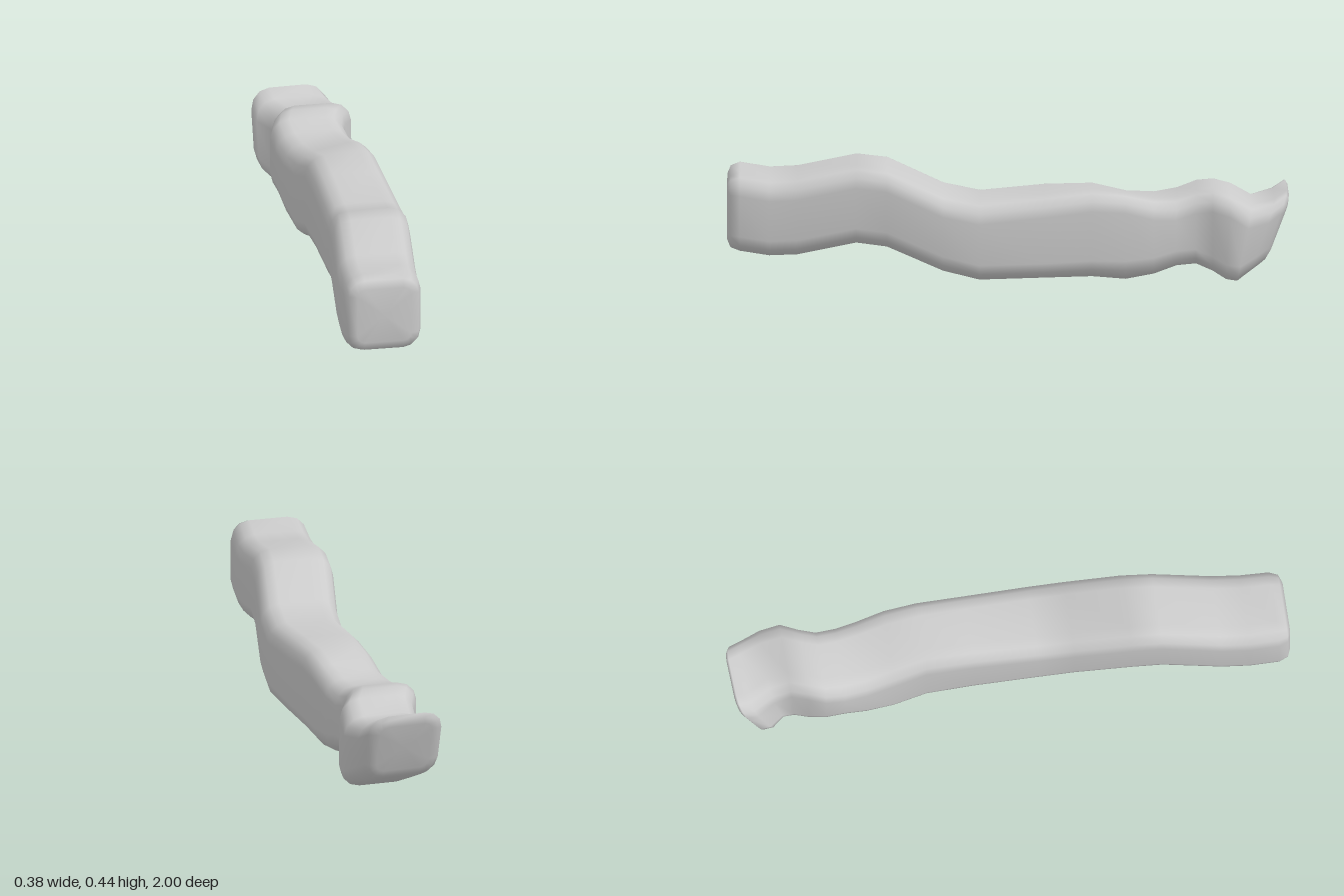
import * as THREE from 'three';

// Cross-sections along the beam: z, centre x, centre y, width, height
const SECTIONS = [
  [0.955, -0.05, 0.252, 0.28, 0.289],
  [0.85, -0.042, 0.237, 0.284, 0.287],
  [0.75, -0.033, 0.244, 0.285, 0.288],
  [0.54, -0.012, 0.294, 0.285, 0.288],
  [0.43, 0.001, 0.284, 0.288, 0.289],
  [0.23, 0.038, 0.203, 0.285, 0.285],
  [0.1, 0.049, 0.176, 0.282, 0.291],
  [-0.13, 0.044, 0.19, 0.272, 0.309],
  [-0.3, 0.04, 0.194, 0.264, 0.321],
  [-0.42, 0.029, 0.172, 0.268, 0.317],
  [-0.52, 0.011, 0.175, 0.273, 0.28],
  [-0.6, -0.003, 0.194, 0.273, 0.254],
  [-0.67, -0.012, 0.209, 0.268, 0.272],
  [-0.73, 0.005, 0.203, 0.266, 0.305],
  [-0.785, 0.033, 0.187, 0.275, 0.317],
  [-0.84, 0.035, 0.164, 0.277, 0.281],
  [-0.9, -0.004, 0.183, 0.288, 0.265],
  [-0.94, -0.022, 0.207, 0.275, 0.27],
];
const RADIUS = 0.07;
const ARC = 3; // segments per rounded corner

// A section moved along z and shrunk on every side, for the rounded ends
const shrink = ([z, cx, cy, w, h], dz, inset) =>
  [z + dz, cx, cy, w - 2 * inset, h - 2 * inset, RADIUS - inset];

// One rounded-rectangle ring, counterclockwise seen from the front
function ring([z, cx, cy, w, h, r = RADIUS]) {
  const lean = THREE.MathUtils.smoothstep(-z, 0.74, 0.93); // far end tips back
  const roll = 0.2 * Math.max(0, 1 - Math.abs(z + 0.42) / 0.2); // local twist
  const points = [];
  for (let q = 0; q < 4; q++) {
    const sx = q === 0 || q === 3 ? 1 : -1, sy = q < 2 ? 1 : -1;
    for (let k = 0; k <= ARC; k++) {
      const a = (q + k / ARC) * Math.PI / 2;
      const x = sx * (w / 2 - r) + r * Math.cos(a);
      const y = sy * (h / 2 - r) + r * Math.sin(a);
      points.push([cx + x, cy + y + roll * x, z - lean * (0.37 * y + 0.05 * x)]);
    }
  }
  return { points, centre: [cx, cy, z] };
}

// Skin the rings and close both ends
function loft(rings) {
  const n = rings[0].points.length, last = rings.length - 1;
  const positions = rings.flatMap(r => r.points.flat());
  positions.push(...rings[0].centre, ...rings[last].centre);
  const front = rings.length * n, back = front + 1, index = [];
  for (let j = 0; j < n; j++) {
    const k = (j + 1) % n;
    for (let i = 0; i < last; i++) {
      const a = i * n + j, b = i * n + k;
      index.push(a, a + n, b, b, a + n, b + n);
    }
    index.push(front, j, k, back, last * n + k, last * n + j);
  }
  const geometry = new THREE.BufferGeometry();
  geometry.setAttribute('position', new THREE.Float32BufferAttribute(positions, 3));
  geometry.setIndex(index);
  geometry.computeVertexNormals();
  return geometry;
}

export function createModel() {
  const group = new THREE.Group();
  group.name = 'wavyBeam';
  // Softly rounded, swaying beam with bevelled ends
  const first = SECTIONS[0], final = SECTIONS[SECTIONS.length - 1];
  const sections = [
    shrink(first, 0.045, 0.043),
    shrink(first, 0.033, 0.013),
    ...SECTIONS,
    shrink(final, -0.013, 0.015),
    shrink(final, -0.02, 0.04),
  ];
  const beam = new THREE.Mesh(
    loft(sections.map(section => ring(section))),
    new THREE.MeshStandardMaterial({ color: 0xcccccc }),
  );
  beam.name = 'beam';
  group.add(beam);
  return group;
}
